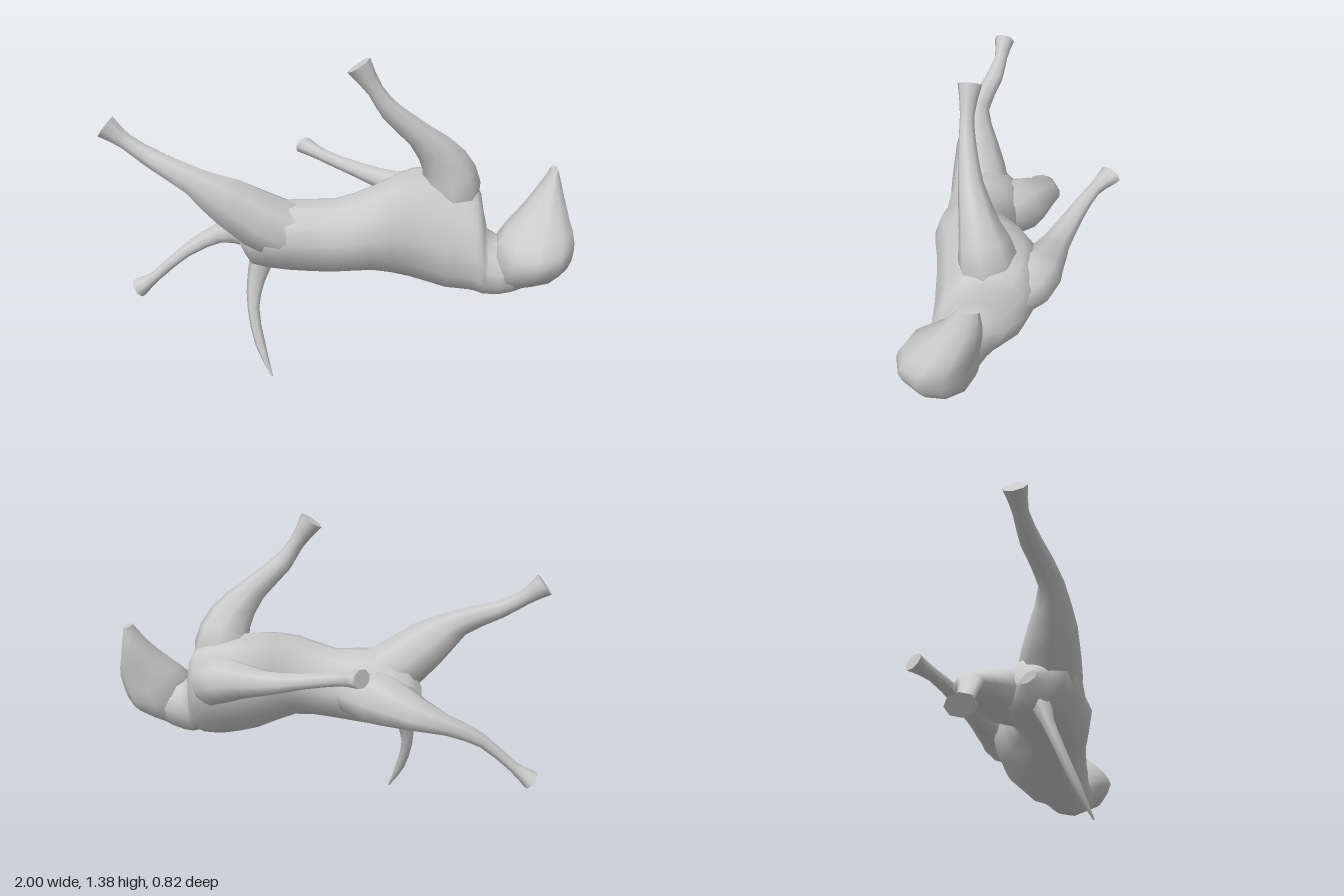
import * as THREE from 'three';

const V = (x, y, z) => new THREE.Vector3(x, y, z);
const material = new THREE.MeshStandardMaterial({ color: 0xcccccc });

// Closed loft through sections [x, y, z, a, b]: half-width a lies along ref, b across it.
// Rings stand square to the path, or to a fixed axis when one is given.
function loft(name, ref, sections, sides, axis) {
  const sub = 2;
  const path = new THREE.CatmullRomCurve3(sections.map(s => V(s[0], s[1], s[2])));
  const size = new THREE.CatmullRomCurve3(sections.map(s => V(s[3], s[4], 0)));
  const n = (sections.length - 1) * sub;
  const positions = [], index = [];

  const addRing = (t) => {
    const c = path.getPoint(t), r = size.getPoint(t), normal = axis ?? path.getTangent(t);
    const u = ref.clone().addScaledVector(normal, -ref.dot(normal)).normalize();
    const v = V(0, 0, 0).crossVectors(normal, u);
    for (let j = 0; j < sides; j++) {
      const k = (j / sides) * Math.PI * 2;
      const p = c.clone().addScaledVector(u, r.x * Math.cos(k)).addScaledVector(v, r.y * Math.sin(k));
      positions.push(p.x, p.y, p.z);
    }
  };

  // skin
  for (let i = 0; i <= n; i++) addRing(i / n);
  for (let i = 0; i < n; i++) {
    for (let j = 0; j < sides; j++) {
      const a = i * sides + j, b = i * sides + (j + 1) % sides;
      index.push(a, b, b + sides, a, b + sides, a + sides);
    }
  }
  // crisp flat ends
  for (const t of [0, 1]) {
    const base = positions.length / 3;
    addRing(t);
    for (let j = 1; j < sides - 1; j++) {
      if (t) index.push(base, base + j, base + j + 1);
      else index.push(base, base + j + 1, base + j);
    }
  }

  const geometry = new THREE.BufferGeometry();
  geometry.setAttribute('position', new THREE.Float32BufferAttribute(positions, 3));
  geometry.setIndex(index);
  geometry.computeVertexNormals();
  const mesh = new THREE.Mesh(geometry, material);
  mesh.name = name;
  return mesh;
}

export function createModel() {
  const group = new THREE.Group();
  group.name = 'animalLyingOnBack';
  const sternum = V(0, 0.82, -0.57); // the trunk is rolled over to one side
  const side = V(0, 0, 1);

  // trunk from rump over the deep chest to the neck
  group.add(loft('body', sternum, [
    [-0.44, 0.56, 0.19, 0.02, 0.04],
    [-0.38, 0.57, 0.20, 0.11, 0.15],
    [-0.22, 0.595, 0.20, 0.155, 0.19],
    [-0.03, 0.60, 0.205, 0.16, 0.165],
    [0.14, 0.635, 0.19, 0.185, 0.185],
    [0.30, 0.63, 0.11, 0.24, 0.215],
    [0.46, 0.60, 0.085, 0.268, 0.20],
    [0.56, 0.58, 0.09, 0.255, 0.18],
    [0.605, 0.55, 0.12, 0.225, 0.15],
    [0.635, 0.475, 0.16, 0.145, 0.12],
    [0.74, 0.475, 0.19, 0.12, 0.115],
    [0.86, 0.51, 0.21, 0.09, 0.10],
  ], 12, V(1, 0, 0)));

  // head, bent up from the neck to the muzzle
  group.add(loft('head', side, [
    [0.72, 0.37, 0.19, 0.04, 0.04],
    [0.80, 0.45, 0.205, 0.13, 0.145],
    [0.825, 0.54, 0.215, 0.165, 0.165],
    [0.835, 0.61, 0.195, 0.15, 0.165],
    [0.865, 0.70, 0.145, 0.115, 0.11],
    [0.89, 0.785, 0.10, 0.08, 0.06],
    [0.91, 0.875, 0.07, 0.045, 0.015],
  ], 10, V(0, 1, 0)));

  // legs from deep inside the trunk to the hoof
  const legs = {
    leftHindLeg: [
      [-0.02, 0.61, 0.22, 0.08, 0.08],
      [-0.25, 0.64, 0.245, 0.14, 0.135],
      [-0.45, 0.775, 0.295, 0.10, 0.115],
      [-0.60, 0.88, 0.315, 0.053, 0.065],
      [-0.78, 0.96, 0.27, 0.045, 0.042],
      [-0.89, 1.025, 0.25, 0.032, 0.036],
      [-0.97, 1.085, 0.245, 0.05, 0.056],
    ],
    rightHindLeg: [
      [-0.02, 0.60, 0.18, 0.09, 0.08],
      [-0.25, 0.57, 0.08, 0.155, 0.125],
      [-0.43, 0.53, 0.0, 0.12, 0.075],
      [-0.57, 0.49, -0.015, 0.065, 0.045],
      [-0.72, 0.415, 0.025, 0.05, 0.03],
      [-0.87, 0.285, 0.045, 0.035, 0.025],
      [-0.95, 0.225, 0.05, 0.06, 0.045],
    ],
    leftFrontLeg: [
      [0.48, 0.60, 0.08, 0.10, 0.09],
      [0.475, 0.79, 0.075, 0.125, 0.125],
      [0.435, 0.92, 0.115, 0.085, 0.10],
      [0.335, 1.045, 0.165, 0.052, 0.06],
      [0.21, 1.16, 0.20, 0.036, 0.045],
      [0.145, 1.25, 0.21, 0.03, 0.034],
      [0.075, 1.355, 0.21, 0.05, 0.055],
    ],
    rightFrontLeg: [
      [0.52, 0.62, 0.06, 0.10, 0.10],
      [0.45, 0.68, -0.08, 0.13, 0.115],
      [0.35, 0.695, -0.13, 0.095, 0.085],
      [0.22, 0.70, -0.165, 0.065, 0.055],
      [0.05, 0.735, -0.225, 0.045, 0.036],
      [-0.12, 0.775, -0.30, 0.032, 0.03],
      [-0.215, 0.80, -0.365, 0.053, 0.04],
    ],
  };
  for (const [name, sections] of Object.entries(legs)) group.add(loft(name, side, sections, 8));

  // thin hanging tail
  group.add(loft('tail', V(1, 0, 0), [
    [-0.33, 0.52, 0.21, 0.06, 0.06],
    [-0.365, 0.40, 0.25, 0.04, 0.03],
    [-0.375, 0.28, 0.295, 0.026, 0.024],
    [-0.34, 0.13, 0.355, 0.022, 0.02],
    [-0.285, 0.005, 0.41, 0.004, 0.004],
  ], 6));

  return group;
}
